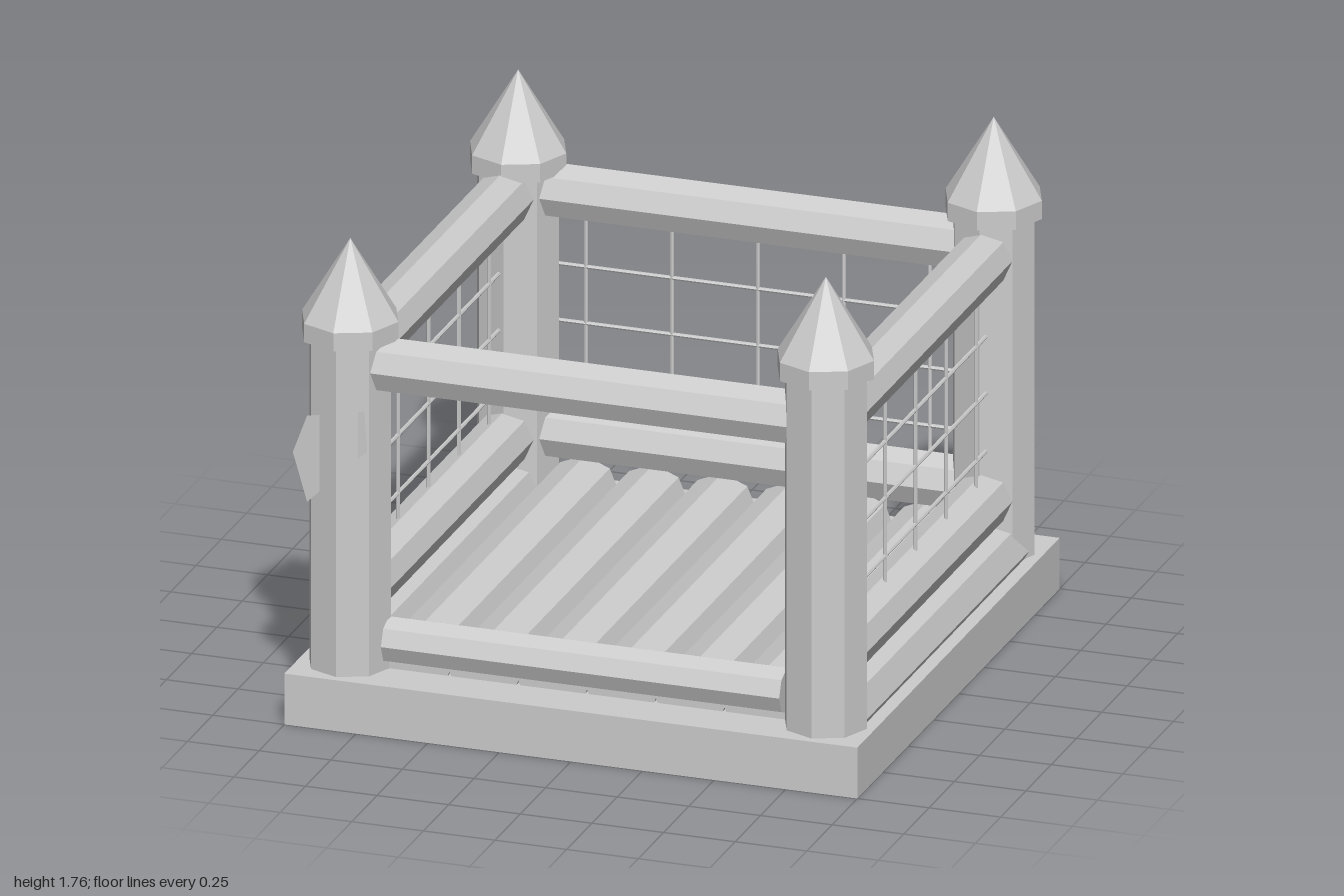
import * as THREE from 'three';

export function createModel() {
  const model = new THREE.Group();
  model.name = 'bouncyCastle';
  const grey = new THREE.MeshStandardMaterial({ color: 0xcccccc, flatShading: true, side: THREE.DoubleSide });
  grey.name = 'lightGrey';

  const add = (parent, name, geometry, x, y, z) => {
    const mesh = new THREE.Mesh(geometry, grey);
    mesh.name = name;
    mesh.position.set(x, y, z);
    parent.add(mesh);
    return mesh;
  };
  // Straight tube lying along x or z
  const tube = (parent, name, axis, radius, length, x, y, z, sides = 8) => {
    const g = new THREE.CylinderGeometry(radius, radius, length, sides);
    if (axis === 'x') g.rotateZ(Math.PI / 2);
    else g.rotateX(Math.PI / 2);
    return add(parent, name, g, x, y, z);
  };

  // Base slab
  add(model, 'base', new THREE.BoxGeometry(2, 0.18, 2), 0, 0.09, 0);

  // Inflated floor tubes, the outer ones running under the side walls
  for (let i = 0; i < 8; i++) {
    tube(model, 'floorTube', 'z', 0.122, 1.68, -0.84 + i * 0.24, 0.2, 0);
  }

  // Corner posts of differing heights with pointed caps
  const P = 0.83;
  const posts = [[P, P, 1.42], [-P, P, 1.34], [P, -P, 1.37], [-P, -P, 1.32]];
  for (const [x, z, top] of posts) {
    const post = new THREE.Group();
    post.name = 'cornerPost';
    post.position.set(x, 0, z);
    const h = top - 0.17;
    add(post, 'postShaft', new THREE.CylinderGeometry(0.143, 0.143, h, 8), 0, 0.17 + h / 2, 0);
    add(post, 'capRim', new THREE.CylinderGeometry(0.168, 0.168, 0.065, 8, 1), 0, top + 0.0325, 0);
    add(post, 'capSpire', new THREE.ConeGeometry(0.168, 0.275, 8, 1, true), 0, top + 0.2025, 0);
    model.add(post);
  }

  // Flat patch half sunk into the front right post
  const outline = [[-0.16, 0.945], [-0.11, 1.08], [0.09, 1.12], [0.1, 0.98], [-0.11, 0.775]];
  const patch = new THREE.Shape(outline.map(([x, y]) => new THREE.Vector2(x, y)));
  add(model, 'postPatch', new THREE.ShapeGeometry(patch), -P, 0, P + 0.115);

  // Front opening: top rail and low step
  tube(model, 'frontTopRail', 'x', 0.096, 1.5, 0, 1.25, P);
  tube(model, 'frontStep', 'x', 0.08, 1.39, 0, 0.28, P);

  // Three netted walls, each built facing +z and turned into place
  const walls = [['leftWall', Math.PI / 2], ['backWall', Math.PI], ['rightWall', -Math.PI / 2]];
  for (const [name, angle] of walls) {
    const wall = new THREE.Group();
    wall.name = name;
    wall.rotation.y = angle;
    tube(wall, 'topRail', 'x', 0.096, 1.5, 0, 1.25, P + 0.005);
    tube(wall, 'bottomRail', 'x', 0.096, 1.5, 0, 0.4, P + 0.005);
    for (const y of [0.58, 0.785, 0.985]) {
      tube(wall, 'netRope', 'x', 0.007, 1.42, 0, y, P + 0.02, 6);
    }
    for (let i = -2; i <= 2; i++) {
      add(wall, 'netRope', new THREE.CylinderGeometry(0.007, 0.007, 0.8, 6), i * 0.3, 0.82, P + 0.02);
    }
    model.add(wall);
  }
  return model;
}
